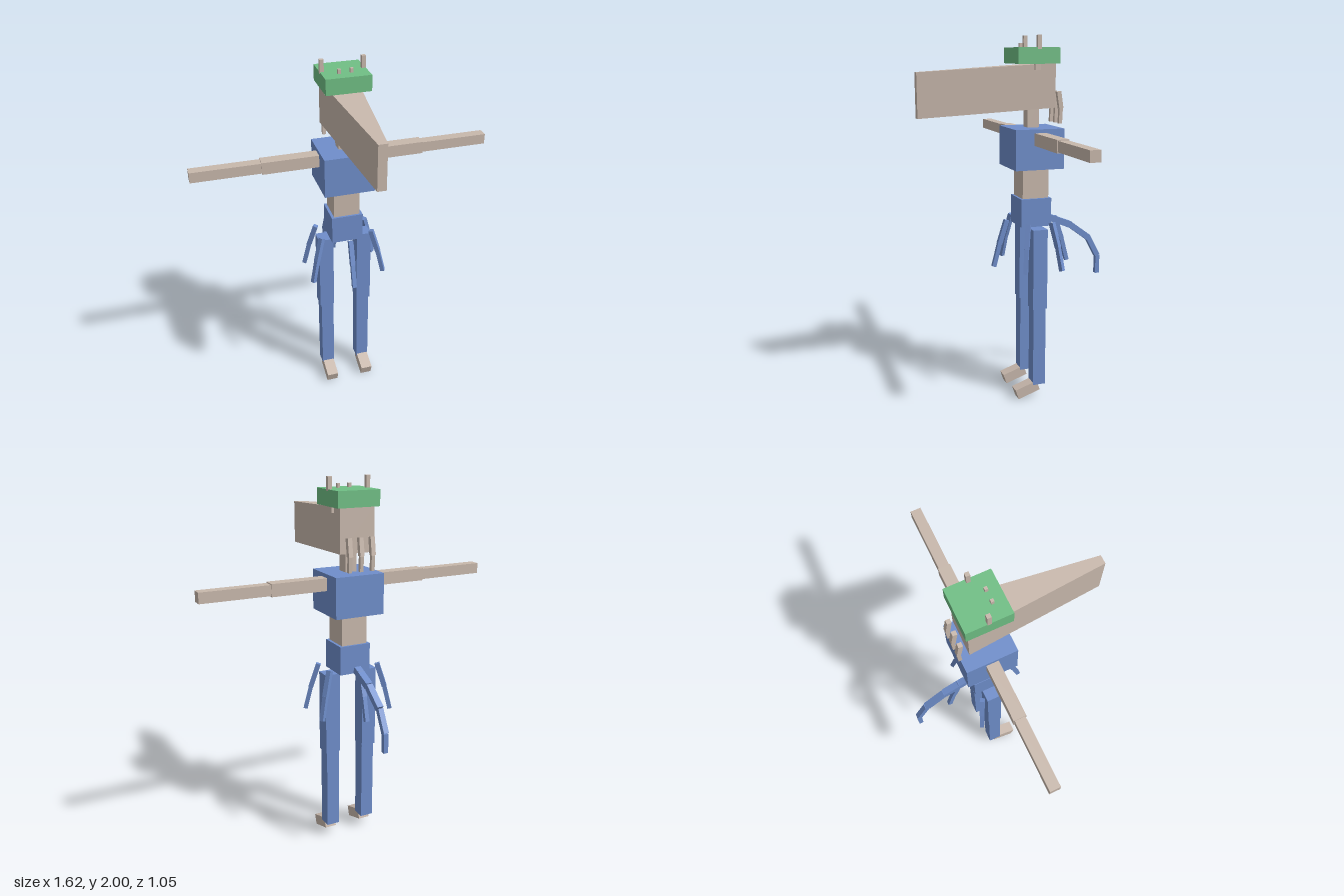
import * as THREE from 'three';

export function createModel() {
  const model = new THREE.Group();
  const mat = (name, color) => {
    const m = new THREE.MeshStandardMaterial({ color });
    m.name = name;
    return m;
  };
  const tan = mat('tan', 0xc8b8ac);
  const blue = mat('blue', 0x6f8ecb);
  const green = mat('green', 0x70bf85);

  const add = (name, geo, material) => {
    const mesh = new THREE.Mesh(geo, material);
    mesh.name = name;
    model.add(mesh);
    return mesh;
  };
  // Box given by its lower and upper corners
  const box = (name, material, a, b) => {
    const mesh = add(name, new THREE.BoxGeometry(b[0] - a[0], b[1] - a[1], b[2] - a[2]), material);
    mesh.position.set((a[0] + b[0]) / 2, (a[1] + b[1]) / 2, (a[2] + b[2]) / 2);
    return mesh;
  };
  // Chain of square bars through the points
  const chain = (name, material, points, widths) => {
    for (let i = 0; i < points.length - 1; i++) {
      const a = new THREE.Vector3(...points[i]);
      const b = new THREE.Vector3(...points[i + 1]);
      const bar = add(name + (i + 1), new THREE.BoxGeometry(widths[i], widths[i], a.distanceTo(b)), material);
      bar.position.copy(a).add(b).multiplyScalar(0.5);
      bar.lookAt(b);
    }
  };

  // Torso
  box('chest', blue, [-0.137, 1.305, -0.237], [0.137, 1.52, 0.035]);
  box('waist', tan, [-0.072, 1.14, -0.175], [0.072, 1.305, -0.027]);
  box('hips', blue, [-0.087, 0.985, -0.187], [0.087, 1.14, -0.015]);
  box('neck', tan, [-0.032, 1.52, -0.132], [0.032, 1.66, -0.068]);

  // Long head narrowing to a blunt snout and dropping towards the front
  const head = new THREE.BoxGeometry(1, 1, 1);
  const p = head.attributes.position;
  for (let i = 0; i < p.count; i++) {
    const front = p.getZ(i) > 0, top = p.getY(i) > 0;
    p.setXYZ(i, Math.sign(p.getX(i)) * (front ? 0.023 : 0.097),
      front ? (top ? 1.815 : 1.582) : (top ? 1.858 : 1.627),
      front ? 0.525 : -0.2);
  }
  head.computeVertexNormals();
  add('head', head, tan);
  box('cap', green, [-0.118, 1.855, -0.217], [0.118, 1.938, 0.015]);

  for (const s of [-1, 1]) {
    const sided = (name, material, x, y, z, w, h, d) =>
      box(name, material, [s * x - w / 2, y, z - d / 2], [s * x + w / 2, y + h, z + d / 2]);

    // Head details
    sided('horn', tan, 0.108, 1.93, -0.102, 0.021, 0.07, 0.021);
    sided('earStub', tan, 0.088, 1.822, -0.1, 0.026, 0.034, 0.03);
    sided('capStud', tan, 0.032, 1.93, -0.05, 0.016, 0.03, 0.016);

    // Arms
    sided('upperArm', tan, 0.285, 1.434, -0.102, 0.31, 0.066, 0.066);
    sided('forearm', tan, 0.623, 1.439, -0.102, 0.37, 0.056, 0.056);

    // Legs
    sided('thigh', blue, 0.11, 0.53, -0.102, 0.082, 0.45, 0.082);
    sided('shin', blue, 0.108, 0.08, -0.102, 0.072, 0.45, 0.072);
    const foot = sided('foot', tan, 0.108, 0.024, -0.036, 0.064, 0.058, 0.132);
    foot.rotation.x = 0.32;

    // Side strands of the skirt
    for (const e of [-1, 1]) {
      const z = (d) => -0.102 + e * d;
      chain('sideStrand', blue,
        [[s * 0.142, 1.015, z(0.068)], [s * 0.178, 0.885, z(0.09)], [s * 0.205, 0.757, z(0.105)]],
        [0.026, 0.023]);
    }
  }

  // Middle strands of the skirt
  chain('frontStrand', blue, [[0, 1.015, 0.042], [0, 0.885, 0.083], [0, 0.757, 0.116]], [0.026, 0.023]);
  chain('backStrand', blue, [[0, 1.015, -0.24], [0, 0.885, -0.285], [0, 0.757, -0.318]], [0.026, 0.023]);

  // Tail
  chain('tail', blue,
    [[0, 1.013, -0.207], [0, 0.962, -0.335], [0, 0.877, -0.45], [0, 0.765, -0.51], [0, 0.66, -0.51]],
    [0.037, 0.034, 0.029, 0.025]);

  // Tufts hanging behind the head
  for (const x of [-0.064, 0, 0.064]) {
    chain('tuft', tan, [[x, 1.71, -0.23], [x, 1.62, -0.244], [x, 1.54, -0.24]], [0.024, 0.019]);
  }
  return model;
}
